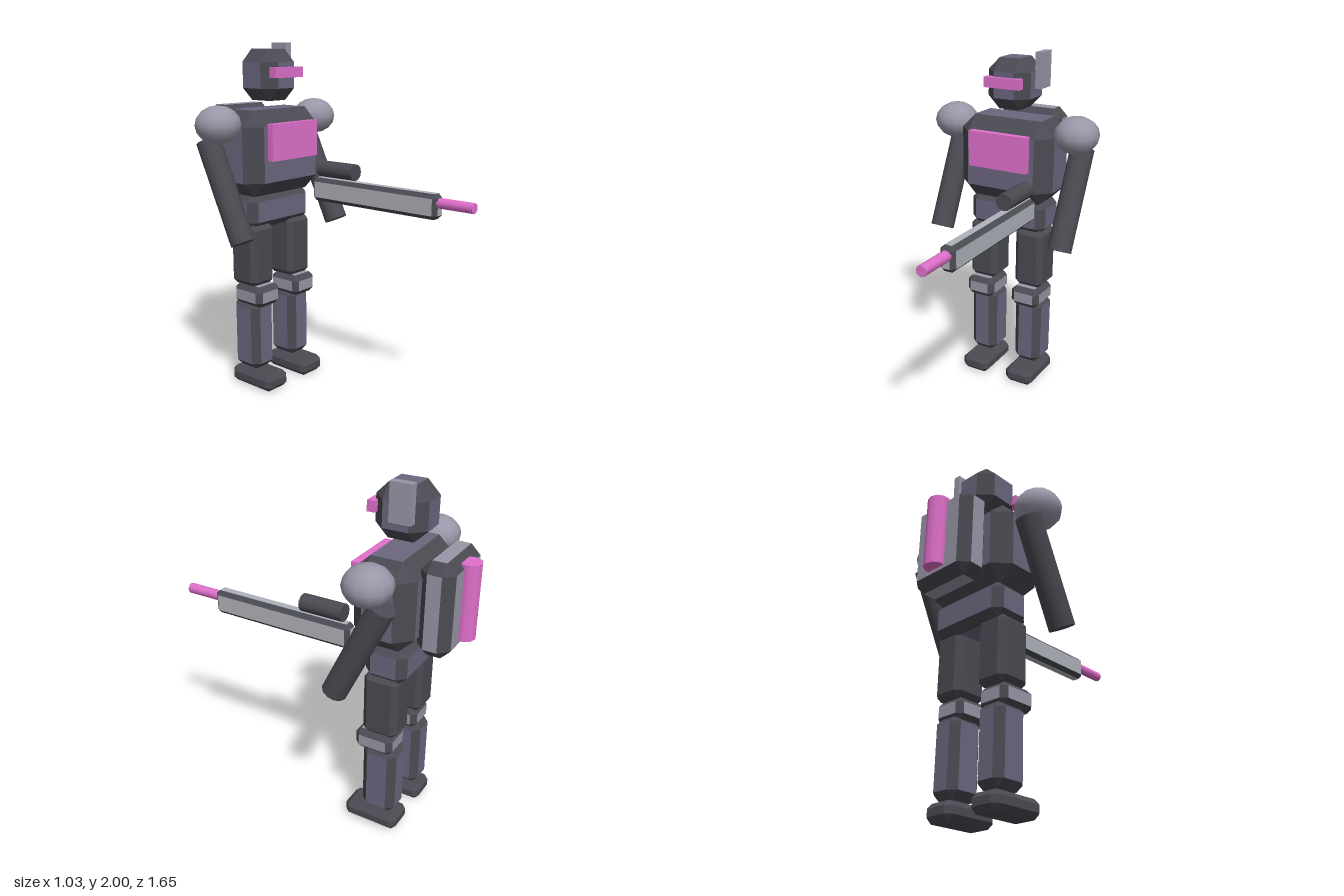
import * as THREE from 'three';

const mat = (color, flat = true) => {
  const m = new THREE.MeshStandardMaterial({ color });
  m.flatShading = flat;
  return m;
};

const DARK = 0x4a4b52, PURPLE = 0x6c667e, LIGHT = 0x9b96a8, STEEL = 0xafb2ba, PINK = 0xe070cc;

// Box with every edge cut at 45 degrees; group 0 = main faces, group 1 = bevels
function chamferBox(w, h, d, c) {
  const half = [w / 2, h / 2, d / 2];
  const pos = [];
  // corner point lying on the face of the given axis
  const pt = (s, axis) => new THREE.Vector3(...half.map((v, i) => s[i] * (i === axis ? v : v - c)));
  const tri = (a, b, e) => {
    const n = b.clone().sub(a).cross(e.clone().sub(a));
    const outward = n.dot(a.clone().add(b).add(e)) > 0;
    for (const p of outward ? [a, b, e] : [a, e, b]) pos.push(p.x, p.y, p.z);
  };
  const quad = (a, b, e, f) => { tri(a, b, e); tri(a, e, f); };
  const signs = [-1, 1];
  // main faces
  for (let a = 0; a < 3; a++) for (const s of signs) {
    const at = (u, v) => {
      const k = [0, 0, 0];
      k[a] = s; k[(a + 1) % 3] = u; k[(a + 2) % 3] = v;
      return pt(k, a);
    };
    quad(at(-1, -1), at(1, -1), at(1, 1), at(-1, 1));
  }
  const mainCount = pos.length / 3;
  // edge bevels
  for (let a = 0; a < 3; a++) for (const u of signs) for (const v of signs) {
    const b = (a + 1) % 3, e = (a + 2) % 3;
    const at = (t, face) => {
      const k = [0, 0, 0];
      k[a] = t; k[b] = u; k[e] = v;
      return pt(k, face);
    };
    quad(at(-1, b), at(1, b), at(1, e), at(-1, e));
  }
  // corner triangles
  for (const x of signs) for (const y of signs) for (const z of signs)
    tri(pt([x, y, z], 0), pt([x, y, z], 1), pt([x, y, z], 2));
  const g = new THREE.BufferGeometry();
  g.setAttribute('position', new THREE.Float32BufferAttribute(pos, 3));
  g.computeVertexNormals();
  g.addGroup(0, mainCount, 0);
  g.addGroup(mainCount, pos.length / 3 - mainCount, 1);
  return g;
}

export function createModel() {
  const model = new THREE.Group();
  model.name = 'robot';

  const add = (name, geometry, material, x, y, z) => {
    const mesh = new THREE.Mesh(geometry, material);
    mesh.name = name;
    mesh.position.set(x, y, z);
    model.add(mesh);
    return mesh;
  };
  // parts given by their centre x, width, and y and z ranges
  const block = (name, x, w, [y0, y1], [z0, z1], c, color) =>
    add(name, chamferBox(w, y1 - y0, z1 - z0, c), [mat(color), mat(DARK)], x, (y0 + y1) / 2, (z0 + z1) / 2);
  const plate = (name, x, w, [y0, y1], [z0, z1], color) =>
    add(name, new THREE.BoxGeometry(w, y1 - y0, z1 - z0), mat(color), x, (y0 + y1) / 2, (z0 + z1) / 2);
  const rod = (name, r, length, color, x, y, z, tilt = 0, sides = 12) => {
    const mesh = add(name, new THREE.CylinderGeometry(r, r, length, sides), mat(color, false), x, y, z);
    mesh.rotation.x = tilt;
    return mesh;
  };

  // Head
  block('head', 0, 0.265, [1.68, 1.965], [-0.56, -0.28], 0.07, PURPLE);
  plate('visor', 0, 0.22, [1.81, 1.868], [-0.3, -0.255], PINK);
  plate('antenna', 0.15, 0.04, [1.8, 2], [-0.52, -0.402], LIGHT);

  // Trunk
  block('torso', 0, 0.59, [1.155, 1.637], [-0.59, -0.25], 0.085, PURPLE);
  plate('chestPanel', 0, 0.365, [1.363, 1.567], [-0.255, -0.213], PINK);
  block('pelvis', 0, 0.485, [0.96, 1.17], [-0.555, -0.32], 0.045, PURPLE);

  // Backpack with tank
  block('backpack', 0, 0.4, [1.145, 1.65], [-0.755, -0.575], 0.052, LIGHT);
  rod('backTank', 0.06, 0.405, PINK, 0, 1.418, -0.762, 0, 10);

  // Arms and legs, mirrored
  for (const s of [-1, 1]) {
    const side = s > 0 ? 'left' : 'right';
    const shoulder = add(side + 'Shoulder', new THREE.SphereGeometry(0.128, 12, 8), mat(LIGHT, false), s * 0.388, 1.567, -0.42);
    shoulder.scale.y = 0.82;
    rod(side + 'Arm', 0.069, 0.593, DARK, s * 0.392, 1.207, -0.372, -0.446);

    const x = s * 0.153;
    block(side + 'Thigh', x, 0.18, [0.625, 0.99], [-0.52, -0.32], 0.03, DARK);
    block(side + 'Knee', x, 0.184, [0.507, 0.63], [-0.5, -0.28], 0.03, LIGHT);
    block(side + 'Shin', x, 0.172, [0.11, 0.535], [-0.52, -0.32], 0.04, PURPLE);
    block(side + 'Foot', x, 0.18, [0, 0.1], [-0.54, -0.22], 0.03, DARK);
  }

  // Long gun floating in front of the left hip
  block('gunBody', 0.2, 0.088, [1.095, 1.233], [-0.235, 0.622], 0.023, STEEL);
  rod('gunScope', 0.048, 0.252, DARK, 0.2, 1.285, -0.065, Math.PI / 2);
  rod('gunBarrel', 0.029, 0.215, PINK, 0.2, 1.185, 0.718, Math.PI / 2, 10);

  return model;
}
